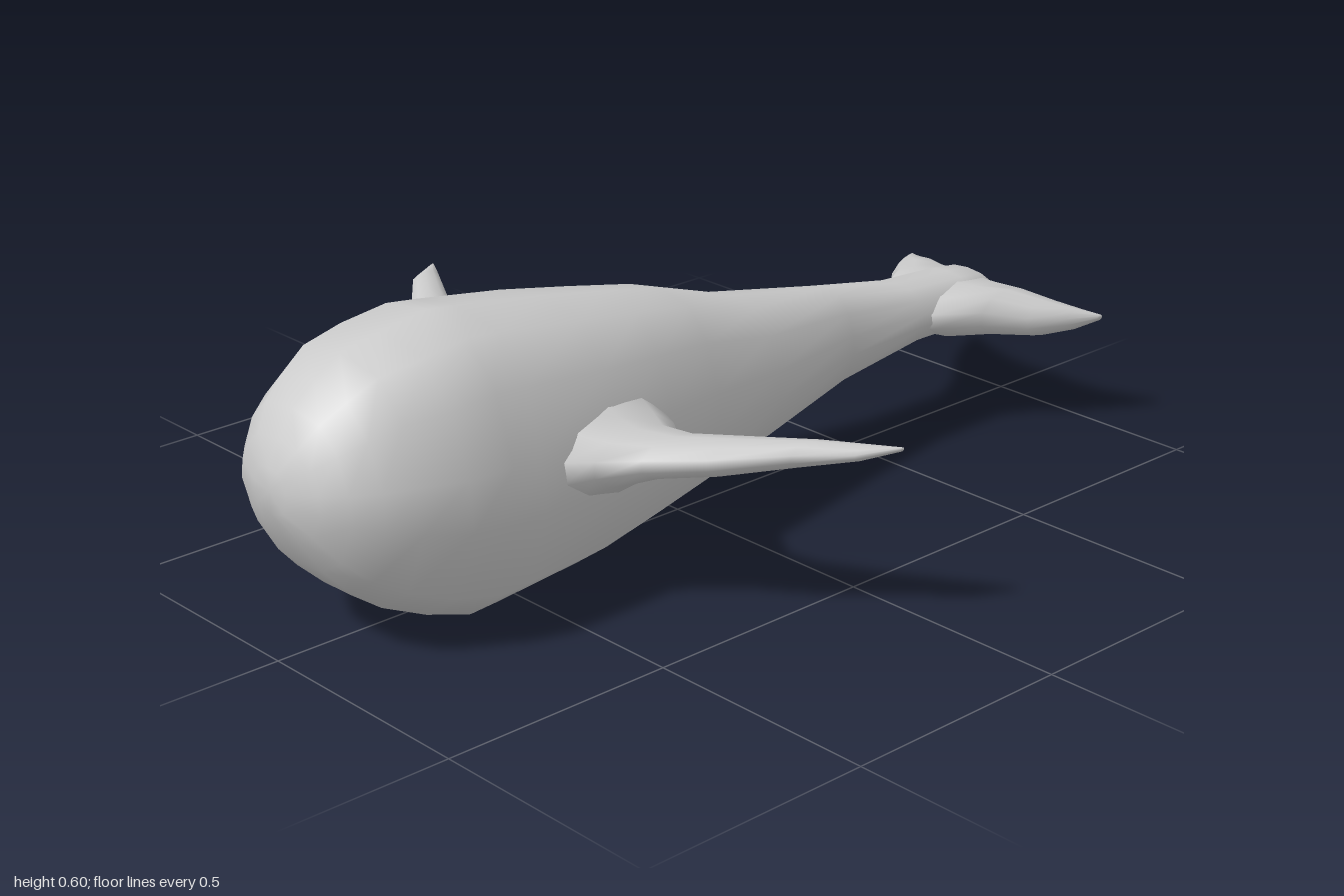
import * as THREE from 'three';

const material = new THREE.MeshStandardMaterial({ color: 0xcccccc });

// Skin a list of equal-length rings of [x, y, z] points, closing both ends.
function loft(name, rings) {
  const n = rings[0].length;
  const pos = rings.flat(2);
  const index = [];
  for (let s = 0; s < rings.length - 1; s++) {
    for (let i = 0; i < n; i++) {
      const a = s * n + i, b = s * n + (i + 1) % n;
      index.push(a, b, a + n, b, b + n, a + n);
    }
  }
  // End caps: a fan around the centre of the first and last ring
  const cap = (start, flip) => {
    const c = [0, 1, 2].map(k => rings[start / n].reduce((t, p) => t + p[k], 0) / n);
    const centre = pos.length / 3;
    pos.push(...c);
    for (let i = 0; i < n; i++) {
      const a = start + i, b = start + (i + 1) % n;
      if (flip) index.push(centre, b, a);
      else index.push(centre, a, b);
    }
  };
  cap(0, true);
  cap((rings.length - 1) * n, false);
  const geometry = new THREE.BufferGeometry();
  geometry.setAttribute('position', new THREE.Float32BufferAttribute(pos, 3));
  geometry.setIndex(index);
  geometry.computeVertexNormals();
  const mesh = new THREE.Mesh(geometry, material);
  mesh.name = name;
  return mesh;
}

// Half of the body cross-section, from the back ridge to the belly
const halfSection = [[0, 1], [0.49, 0.93], [0.78, 0.63], [0.96, 0.19],
  [1, -0.18], [0.78, -0.73], [0.41, -0.97], [0, -1]];
const bodySection = [...halfSection,
  ...halfSection.slice(1, -1).reverse().map(([x, y]) => [-x, y])];

function buildBody() {
  // z, top, bottom, half width
  const stations = [
    [0.998, 0.39, 0.30, 0.05], [0.975, 0.44, 0.25, 0.12], [0.94, 0.49, 0.185, 0.165],
    [0.89, 0.53, 0.13, 0.20], [0.83, 0.567, 0.083, 0.23], [0.735, 0.585, 0.04, 0.255],
    [0.63, 0.60, 0.005, 0.253], [0.56, 0.591, 0.009, 0.25], [0.36, 0.56, 0.025, 0.24],
    [0.20, 0.53, 0.05, 0.21], [0.05, 0.50, 0.075, 0.18], [-0.15, 0.435, 0.118, 0.142],
    [-0.42, 0.385, 0.175, 0.09], [-0.64, 0.342, 0.212, 0.085], [-0.80, 0.332, 0.212, 0.085],
    [-0.87, 0.323, 0.212, 0.08], [-0.915, 0.29, 0.22, 0.06],
  ];
  return loft('body', stations.map(([z, top, bottom, w]) =>
    bodySection.map(([x, y]) => [x * w, (top + bottom) / 2 + y * (top - bottom) / 2, z])));
}

// Fin from sections running outward: x, leading z, trailing z, top, bottom
function buildFin(name, side, stations) {
  const sides = 10;
  return loft(name, stations.map(([x, lead, trail, top, bottom]) => {
    const ring = [];
    for (let i = 0; i < sides; i++) {
      const a = (i / sides) * Math.PI * 2;
      ring.push([side * x,
        (top + bottom) / 2 + Math.cos(a) * (top - bottom) / 2,
        (lead + trail) / 2 + Math.sin(a) * (lead - trail) / 2]);
    }
    return side > 0 ? ring : ring.reverse();
  }));
}

const flipper = [
  [0.17, 0.56, 0.20, 0.42, 0.20], [0.235, 0.52, 0.22, 0.385, 0.23],
  [0.275, 0.47, 0.25, 0.37, 0.258], [0.34, 0.41, 0.245, 0.365, 0.285],
  [0.45, 0.345, 0.20, 0.378, 0.308], [0.56, 0.24, 0.145, 0.385, 0.335],
  [0.65, 0.165, 0.095, 0.384, 0.358], [0.69, 0.085, 0.075, 0.38, 0.372],
];

const fluke = [
  [0, -0.62, -0.92, 0.325, 0.215], [0.085, -0.66, -0.92, 0.322, 0.214],
  [0.135, -0.765, -0.93, 0.312, 0.212], [0.20, -0.84, -0.958, 0.29, 0.212],
  [0.245, -0.915, -0.98, 0.272, 0.225], [0.278, -0.983, -1.0, 0.256, 0.244],
];

export function createModel() {
  const model = new THREE.Group();
  model.name = 'whale';
  model.add(buildBody());
  for (const [label, side] of [['left', 1], ['right', -1]]) {
    model.add(buildFin(label + 'Flipper', side, flipper));
    model.add(buildFin(label + 'TailFluke', side, fluke));
  }
  return model;
}
